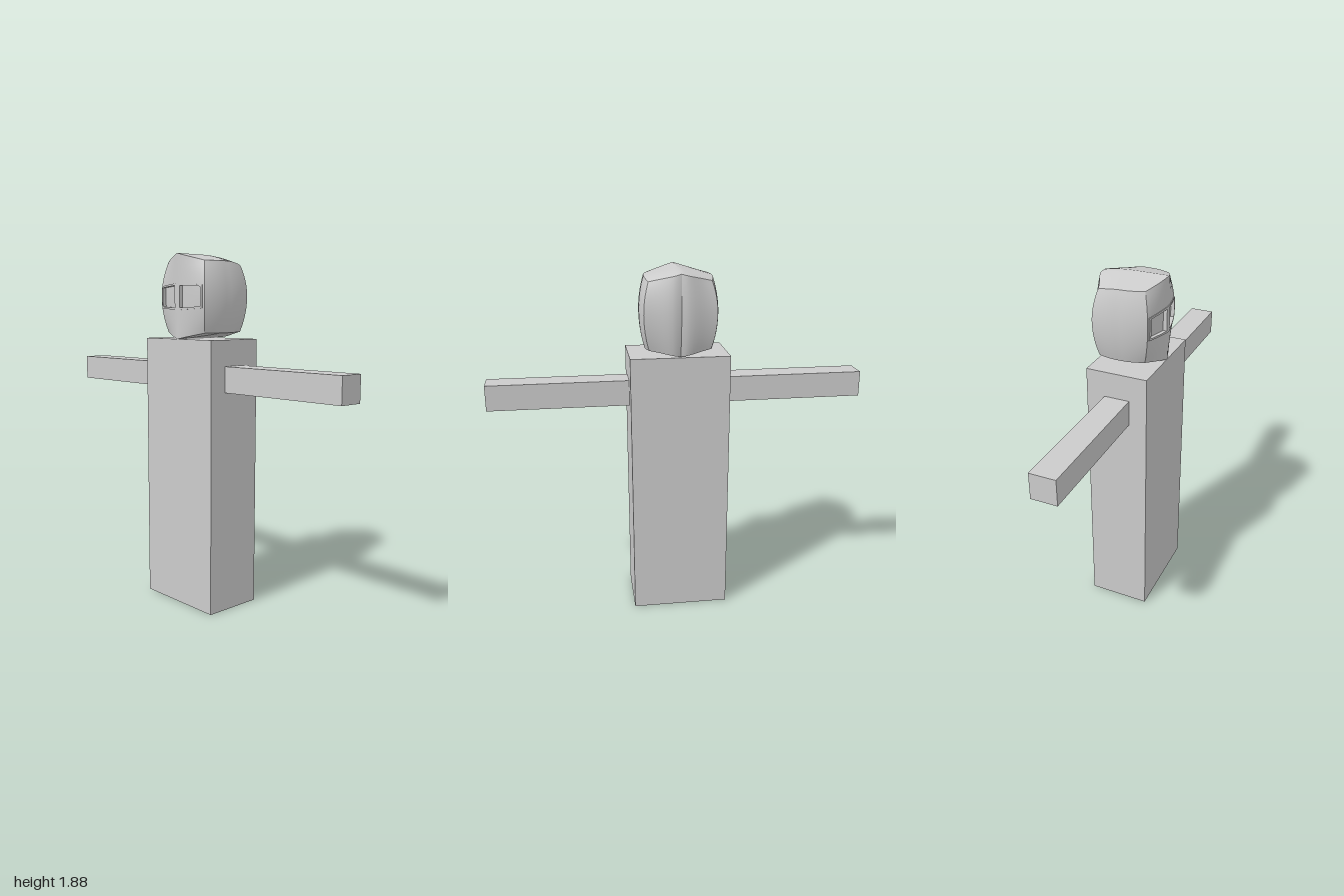
import * as THREE from 'three';
import { toCreasedNormals } from 'three/addons/utils/BufferGeometryUtils.js';

const material = new THREE.MeshStandardMaterial({ color: 0xcccccc });

function box(name, w, h, d, x, y, z) {
  const mesh = new THREE.Mesh(new THREE.BoxGeometry(w, h, d), material);
  mesh.name = name;
  mesh.position.set(x, y, z);
  return mesh;
}

// Maps a point of the cube [-1, 1]^3 to the bulging, sharp-edged head
function headPoint(u, v, w, lift = 0) {
  const a = Math.abs(u);
  const back = Math.max(0, -w);
  const x = u * (0.145 + 0.027 * (1 - v * v) + 0.028 * (1 - w * w) + 0.015 * back);
  const front = 0.18 - a ** 1.3 * (0.035 + 0.025 * v * v);
  const rear = THREE.MathUtils.lerp(0.172 + 0.0125 * v - 0.02 * v * v, 0.145 - 0.025 * v * v, a)
    + 0.14 * a * (1 - a) ** 3;
  const top = 0.22 - 0.04 * a - 0.018 * back * back;
  const bottom = 0.22 - 0.032 * a - 0.004 * back;
  return [x, 1.66 + v * (v > 0 ? top : bottom), w * (w > 0 ? front : rear) + lift];
}

// Evenly spaced lines from -1 to 1, plus extra ones
function lines(n, extra = []) {
  const even = Array.from({ length: n + 1 }, (_, i) => -1 + (2 * i) / n);
  return [...even, ...extra].sort((p, q) => p - q);
}

function buildHead() {
  const positions = [];
  const quad = (a, b, c, d) => positions.push(...a, ...b, ...c, ...a, ...c, ...d);

  // One side of the head; cells at different levels are joined by walls
  function side(map, as, bs, level = () => 0) {
    const point = (i, j, lift) => headPoint(...map(as[i], bs[j]), lift);
    const cell = (i, j) => level((as[i] + as[i + 1]) / 2, (bs[j] + bs[j + 1]) / 2);
    for (let i = 0; i < as.length - 1; i++) {
      for (let j = 0; j < bs.length - 1; j++) {
        const h = cell(i, j);
        quad(point(i, j, h), point(i + 1, j, h), point(i + 1, j + 1, h), point(i, j + 1, h));
        if (i < as.length - 2) {
          const r = cell(i + 1, j);
          if (r !== h) quad(point(i + 1, j, h), point(i + 1, j, r), point(i + 1, j + 1, r), point(i + 1, j + 1, h));
        }
        if (j < bs.length - 2) {
          const t = cell(i, j + 1);
          if (t !== h) quad(point(i, j + 1, h), point(i + 1, j + 1, h), point(i + 1, j + 1, t), point(i, j + 1, t));
        }
      }
    }
  }

  // Front with a slightly raised visor and two sunken eye openings
  const face = (u, v) => {
    const a = Math.abs(u);
    if (a > 0.11 && a < 0.87 && v > -0.27 && v < 0.26) return -0.016;
    return a < 0.94 && v > -0.32 && v < 0.31 ? 0.004 : 0;
  };
  side((a, b) => [a, b, 1],
    lines(12, [-0.94, -0.87, -0.11, 0.11, 0.87, 0.94]),
    lines(10, [-0.32, -0.27, 0.26, 0.31]), face);

  const even = lines(16);
  side((a, b) => [-a, b, -1], even, even);
  side((a, b) => [1, b, -a], even, even);
  side((a, b) => [-1, b, a], even, even);
  side((a, b) => [a, 1, -b], even, even);
  side((a, b) => [a, -1, b], even, even);

  const geometry = new THREE.BufferGeometry();
  geometry.setAttribute('position', new THREE.Float32BufferAttribute(positions, 3));
  const mesh = new THREE.Mesh(toCreasedNormals(geometry, 0.45), material);
  mesh.name = 'head';
  return mesh;
}

export function createModel() {
  const model = new THREE.Group();
  model.name = 'figure';
  model.add(box('body', 0.52, 1.44, 0.325, 0, 0.72, 0.0175));

  // Outstretched arms, very slightly swung
  const arms = new THREE.Group();
  arms.name = 'arms';
  for (const s of [1, -1]) {
    arms.add(box(s > 0 ? 'leftArm' : 'rightArm', 0.74, 0.135, 0.135, s * 0.63, 1.2375, 0.017));
  }
  arms.rotation.y = 0.006;
  model.add(arms);

  model.add(buildHead());
  return model;
}
